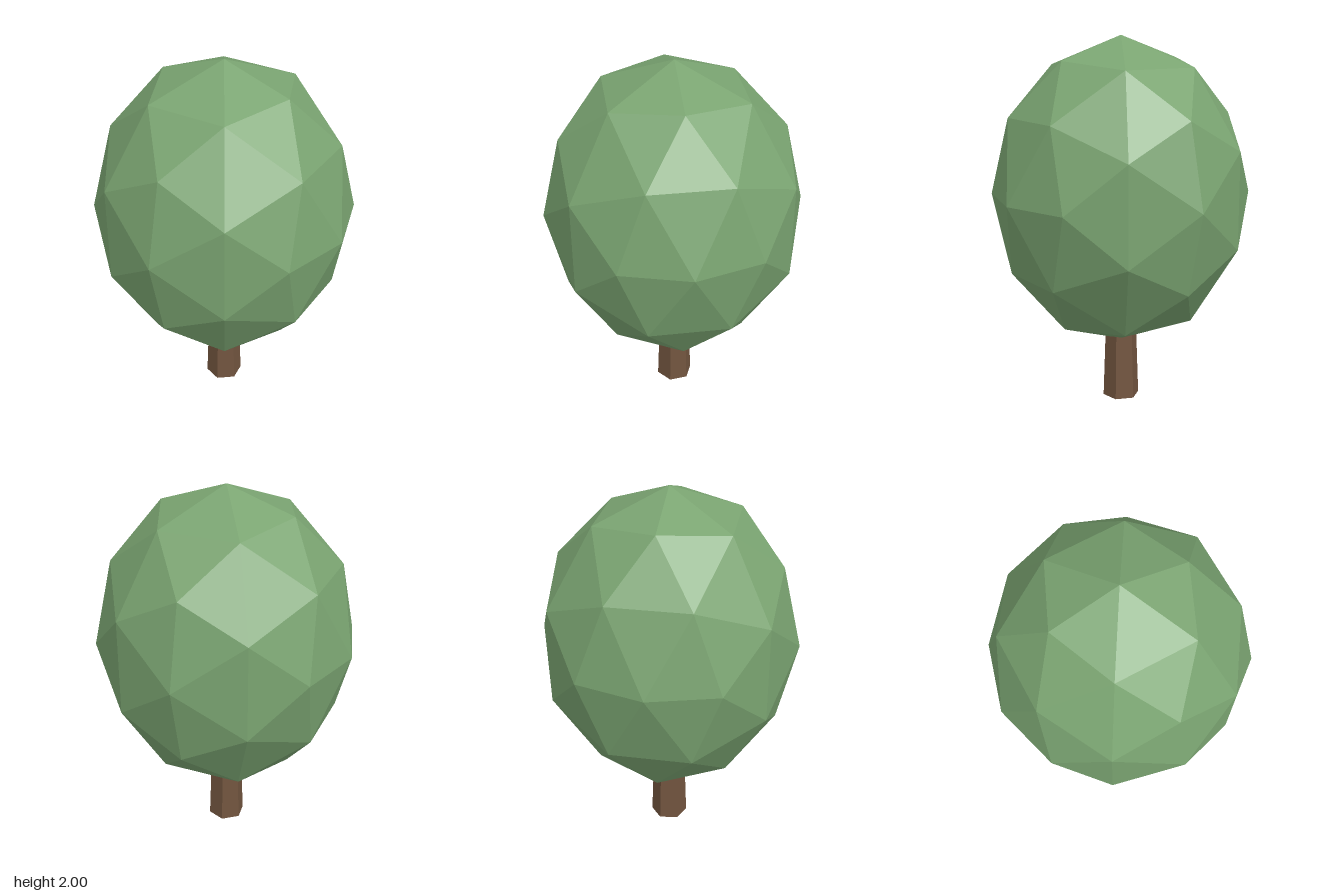
import * as THREE from 'three';

export function createModel() {
  const tree = new THREE.Group();
  tree.name = 'tree';

  const leafGreen = new THREE.MeshStandardMaterial({ color: 0x7aa471, flatShading: true });
  leafGreen.name = 'leaf green';
  const barkBrown = new THREE.MeshStandardMaterial({ color: 0x72553f, flatShading: true });
  barkBrown.name = 'bark brown';

  // Trunk: tapered hexagonal post, its top hidden in the crown
  const trunkHeight = 0.6;
  const trunk = new THREE.Mesh(new THREE.CylinderGeometry(0.08, 0.101, trunkHeight, 6), barkBrown);
  trunk.name = 'trunk';
  trunk.position.y = trunkHeight / 2;
  tree.add(trunk);

  // Crown: faceted ball, stretched upwards and turned slightly
  const radius = 0.697;
  const stretch = 1.2;
  const crown = new THREE.Mesh(new THREE.IcosahedronGeometry(radius, 1), leafGreen);
  crown.name = 'crown';
  crown.scale.y = stretch;
  crown.rotation.y = -0.144;
  crown.position.y = 2 - radius * stretch;
  tree.add(crown);

  return tree;
}
